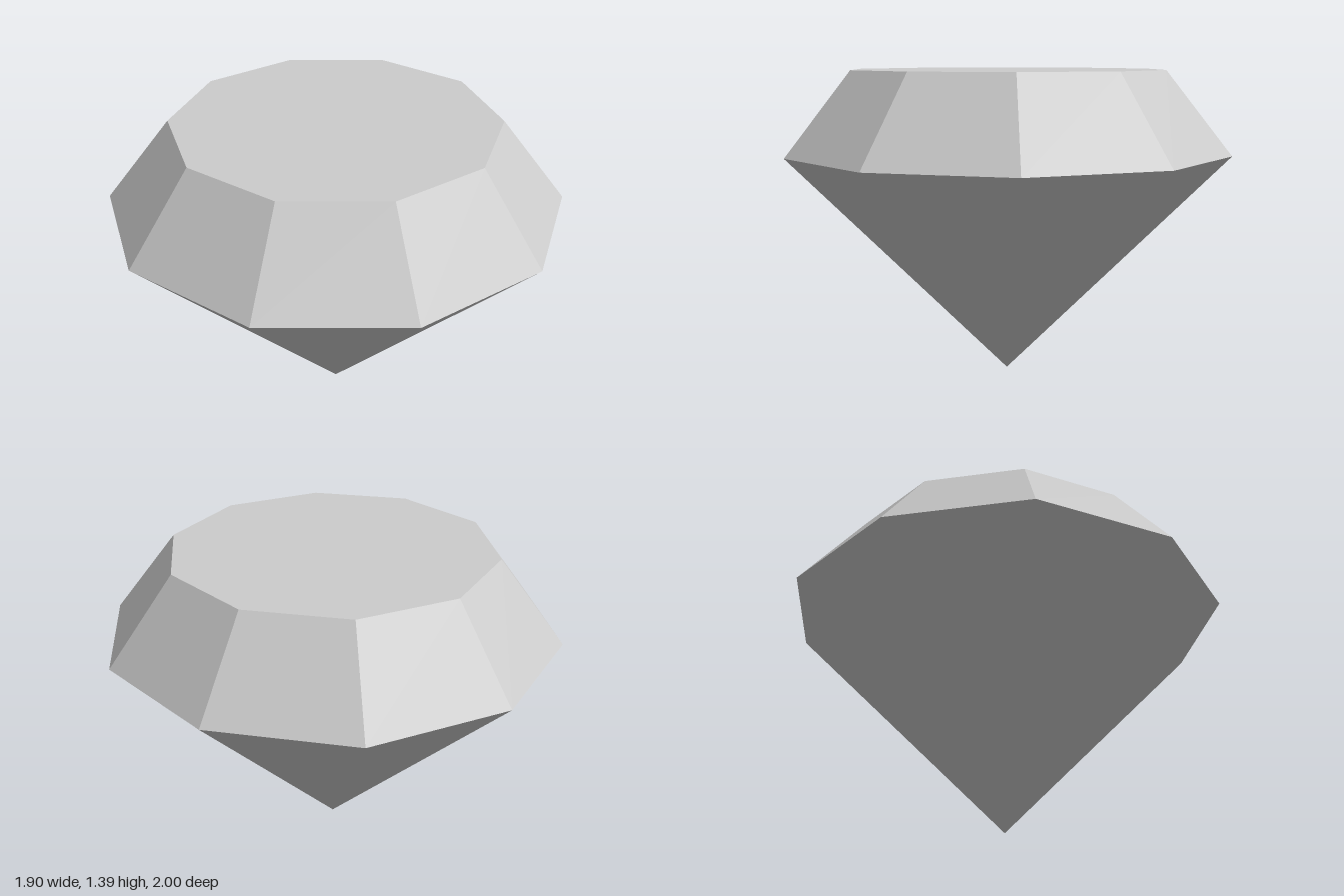
import * as THREE from 'three';

const SIDES = 10;
const GIRDLE_Y = 1.025, TOP_Y = 1.39;
const GIRDLE_R = 1, TABLE_R = 0.71;

export function createModel() {
  const gem = new THREE.Group();
  gem.name = 'cutGem';
  const material = new THREE.MeshStandardMaterial({ color: 0xcccccc, flatShading: true });

  const add = (name, geometry, y) => {
    const mesh = new THREE.Mesh(geometry, material);
    mesh.name = name;
    mesh.position.y = y;
    gem.add(mesh);
  };

  // open ten-sided band of facets between two heights
  const facets = (topR, bottomR, height) =>
    new THREE.CylinderGeometry(topR, bottomR, height, SIDES, 1, true);

  // pointed lower half
  add('pavilion', facets(GIRDLE_R, 0, GIRDLE_Y), GIRDLE_Y / 2);

  // sloped upper ring
  add('crown', facets(TABLE_R, GIRDLE_R, TOP_Y - GIRDLE_Y), (GIRDLE_Y + TOP_Y) / 2);

  // flat top, with corners aligned to the crown
  add('table', new THREE.CircleGeometry(TABLE_R, SIDES, Math.PI / 2).rotateX(-Math.PI / 2), TOP_Y);

  return gem;
}
